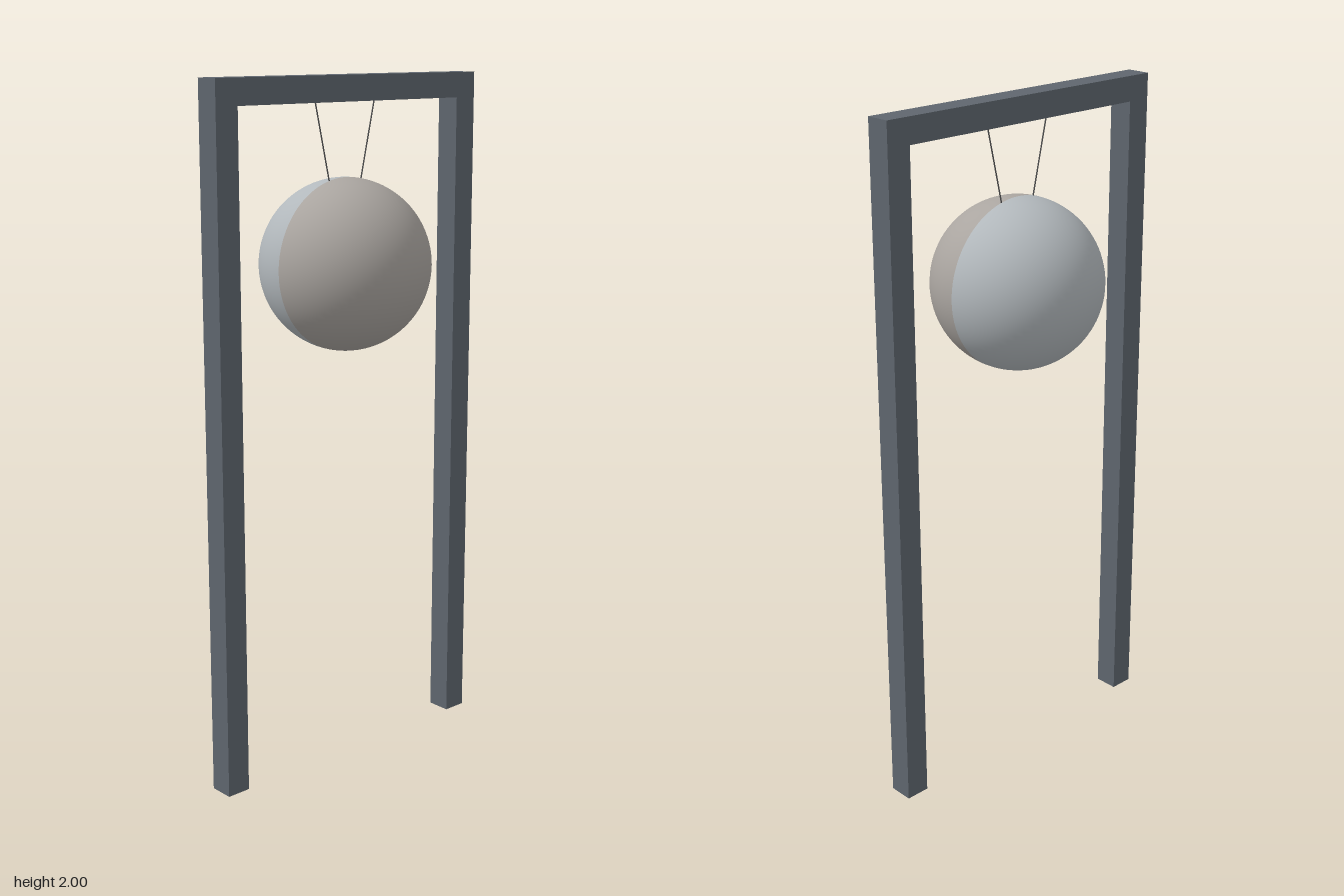
import * as THREE from 'three';

const FRAME_W = 0.478, FRAME_H = 2, BAR = 0.072;
const BALL_R = 0.245, BALL_Y = 1.475;

function addMesh(parent, name, geometry, color) {
  const mesh = new THREE.Mesh(geometry, new THREE.MeshStandardMaterial({ color }));
  mesh.name = name;
  parent.add(mesh);
  return mesh;
}

export function createModel() {
  const model = new THREE.Group();
  model.name = 'hangingBallStand';

  // Square-section portal frame: two posts and a crossbar in one outline
  const inner = FRAME_W - BAR, under = FRAME_H - BAR;
  const outline = new THREE.Shape([
    [-FRAME_W, 0], [-inner, 0], [-inner, under], [inner, under],
    [inner, 0], [FRAME_W, 0], [FRAME_W, FRAME_H], [-FRAME_W, FRAME_H],
  ].map(([x, y]) => new THREE.Vector2(x, y)));
  const frame = new THREE.ExtrudeGeometry(outline, { depth: BAR, bevelEnabled: false });
  frame.translate(0, 0, -BAR / 2);
  addMesh(model, 'frame', frame, 0x5f666e);

  // Ball in two differently coloured halves, front and back
  const ball = new THREE.Group();
  ball.name = 'ball';
  ball.position.y = BALL_Y;
  model.add(ball);
  const half = (start) => new THREE.SphereGeometry(BALL_R, 32, 48, start, Math.PI);
  addMesh(ball, 'frontHalf', half(0), 0xaaa5a0);
  addMesh(ball, 'backHalf', half(Math.PI), 0xb2b8bc);

  // Thin cords from the crossbar to the top of the ball
  for (const side of [-1, 1]) {
    const path = new THREE.LineCurve3(
      new THREE.Vector3(side * 0.11, under + 0.002, 0),
      new THREE.Vector3(side * 0.058, 1.705, 0),
    );
    addMesh(model, side > 0 ? 'leftCord' : 'rightCord',
      new THREE.TubeGeometry(path, 1, 0.002, 8), 0x555555);
  }

  return model;
}
